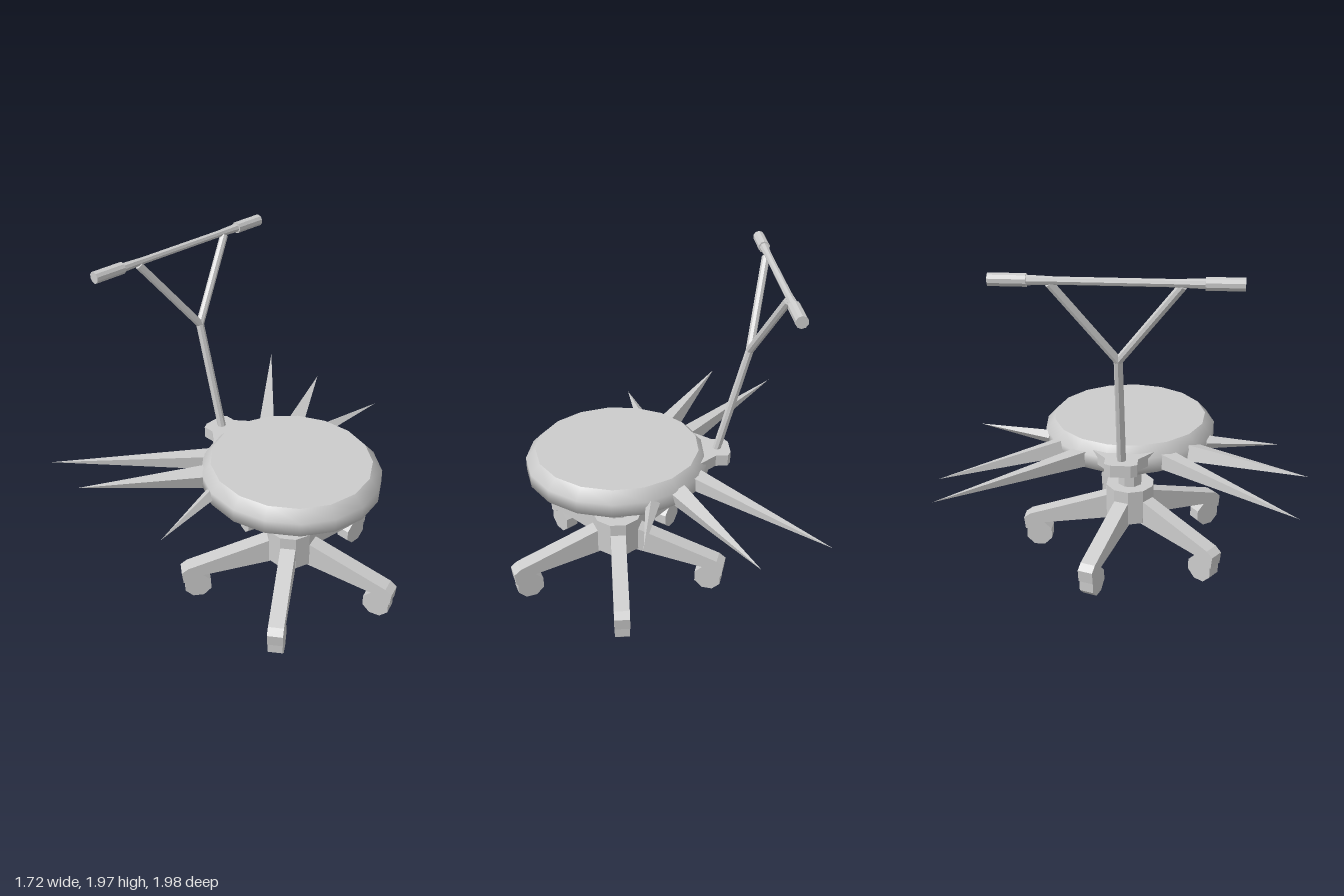
import * as THREE from 'three';

const flat = new THREE.MeshStandardMaterial({ color: 0xcccccc, flatShading: true });
const smooth = new THREE.MeshStandardMaterial({ color: 0xcccccc });
const V = (x, y, z) => new THREE.Vector3(x, y, z);

function add(parent, name, geometry, material = flat) {
  const mesh = new THREE.Mesh(geometry, material);
  mesh.name = name;
  parent.add(mesh);
  return mesh;
}

// Round bar from a to b with a radius at each end
function bar(parent, name, a, b, ra, rb = ra, sides = 8) {
  const dir = b.clone().sub(a);
  const mesh = add(parent, name, new THREE.CylinderGeometry(rb, ra, dir.length(), sides));
  mesh.position.copy(a).addScaledVector(dir, 0.5);
  mesh.quaternion.setFromUnitVectors(V(0, 1, 0), dir.normalize());
  return mesh;
}

function shape(points) {
  return new THREE.Shape(points.map(([x, y]) => new THREE.Vector2(x, y)));
}

function makeBase() {
  const base = new THREE.Group();
  base.name = 'base';
  base.position.x = 0.215;
  const hub = add(base, 'hub', new THREE.CylinderGeometry(0.15, 0.15, 0.22, 10).rotateY(Math.PI / 10));
  hub.position.y = 0.34;
  const post = add(base, 'post', new THREE.CylinderGeometry(0.075, 0.075, 0.28, 8).rotateY(Math.PI / 8));
  post.position.y = 0.57;

  // Five legs with down-turned feet, each over an octagonal wheel
  const profile = shape([[0.08, 0.225], [0.59, 0.155], [0.62, 0.115], [0.662, 0.115],
    [0.67, 0.19], [0.63, 0.22], [0.14, 0.375], [0.08, 0.375]]);
  const legGeo = new THREE.ExtrudeGeometry(profile, { depth: 0.09, bevelEnabled: false });
  legGeo.translate(0, 0, -0.045);
  const wheelGeo = new THREE.CylinderGeometry(0.085, 0.085, 0.085, 8).rotateX(Math.PI / 2).rotateZ(Math.PI / 8);
  for (let i = 0; i < 5; i++) {
    const leg = new THREE.Group();
    leg.name = 'leg' + (i + 1);
    leg.rotation.y = Math.PI / 2 + (i * Math.PI * 2) / 5;
    add(leg, 'legArm', legGeo);
    add(leg, 'wheel', wheelGeo).position.set(0.575, 0.082, 0);
    base.add(leg);
  }
  return base;
}

function makeSeat() {
  const seat = new THREE.Group();
  seat.name = 'seat';
  seat.position.x = 0.205;
  const rim = [[0.345, 0.685], [0.505, 0.78], [0.505, 0.86], [0.45, 0.92]];
  const side = new THREE.LatheGeometry(rim.map(([r, y]) => new THREE.Vector2(r, y)), 17);
  add(seat, 'seatSide', side.rotateY(Math.PI / 2).scale(1.05, 1, 1), smooth);
  add(seat, 'seatTop', new THREE.CircleGeometry(0.45, 17).rotateX(-Math.PI / 2).scale(1.05, 1, 1), smooth)
    .position.y = 0.92;
  add(seat, 'seatBottom', new THREE.CircleGeometry(0.345, 17).rotateX(Math.PI / 2).scale(1.05, 1, 1), smooth)
    .position.y = 0.685;
  return seat;
}

function makeHandle() {
  const handle = new THREE.Group();
  handle.name = 'handle';
  // Tapered bracket joining the stem to the seat
  const plate = shape([[-0.45, -0.055], [-0.43, -0.09], [-0.36, -0.09], [-0.26, -0.17],
    [-0.26, 0.17], [-0.36, 0.09], [-0.43, 0.09], [-0.45, 0.055]]);
  const bracket = new THREE.ExtrudeGeometry(plate, { depth: 0.07, bevelEnabled: false });
  add(handle, 'bracket', bracket.rotateX(-Math.PI / 2)).position.y = 0.815;

  const fork = V(-0.535, 1.51, 0);
  bar(handle, 'stem', V(-0.37, 0.86, 0), fork, 0.025, 0.023);
  bar(handle, 'crossbar', V(-0.66, 1.945, -0.45), V(-0.66, 1.945, 0.45), 0.02);
  for (const s of [-1, 1]) {
    bar(handle, 'forkArm', fork, V(-0.652, 1.93, s * 0.315), 0.023);
    bar(handle, 'gripTaper', V(-0.66, 1.945, s * 0.28), V(-0.66, 1.945, s * 0.43), 0.02, 0.026);
    bar(handle, 'grip', V(-0.66, 1.945, s * 0.42), V(-0.66, 1.945, s * 0.605), 0.033, 0.033, 10);
  }
  return handle;
}

// Three spikes per side: base x and z, base radius, tip x and z, tip heights front and back
const SPIKES = [
  [-0.23, 0.24, 0.062, -0.85, 0.915, 0.83, 0.84],
  [-0.12, 0.38, 0.065, -0.48, 0.99, 0.877, 0.78],
  [0.03, 0.455, 0.04, 0.105, 0.885, 0.79, 0.86],
];

function makeSpikes() {
  const spikes = new THREE.Group();
  spikes.name = 'spikes';
  for (const [x, z, r, tipX, tipZ, yFront, yBack] of SPIKES) {
    for (const s of [1, -1]) {
      bar(spikes, 'spike', V(x, 0.825, s * z), V(tipX, s > 0 ? yFront : yBack, s * tipZ), r, 0, 4);
    }
  }
  return spikes;
}

export function createModel() {
  const model = new THREE.Group();
  model.name = 'wheeledStool';
  model.add(makeBase(), makeSeat(), makeHandle(), makeSpikes());
  return model;
}
